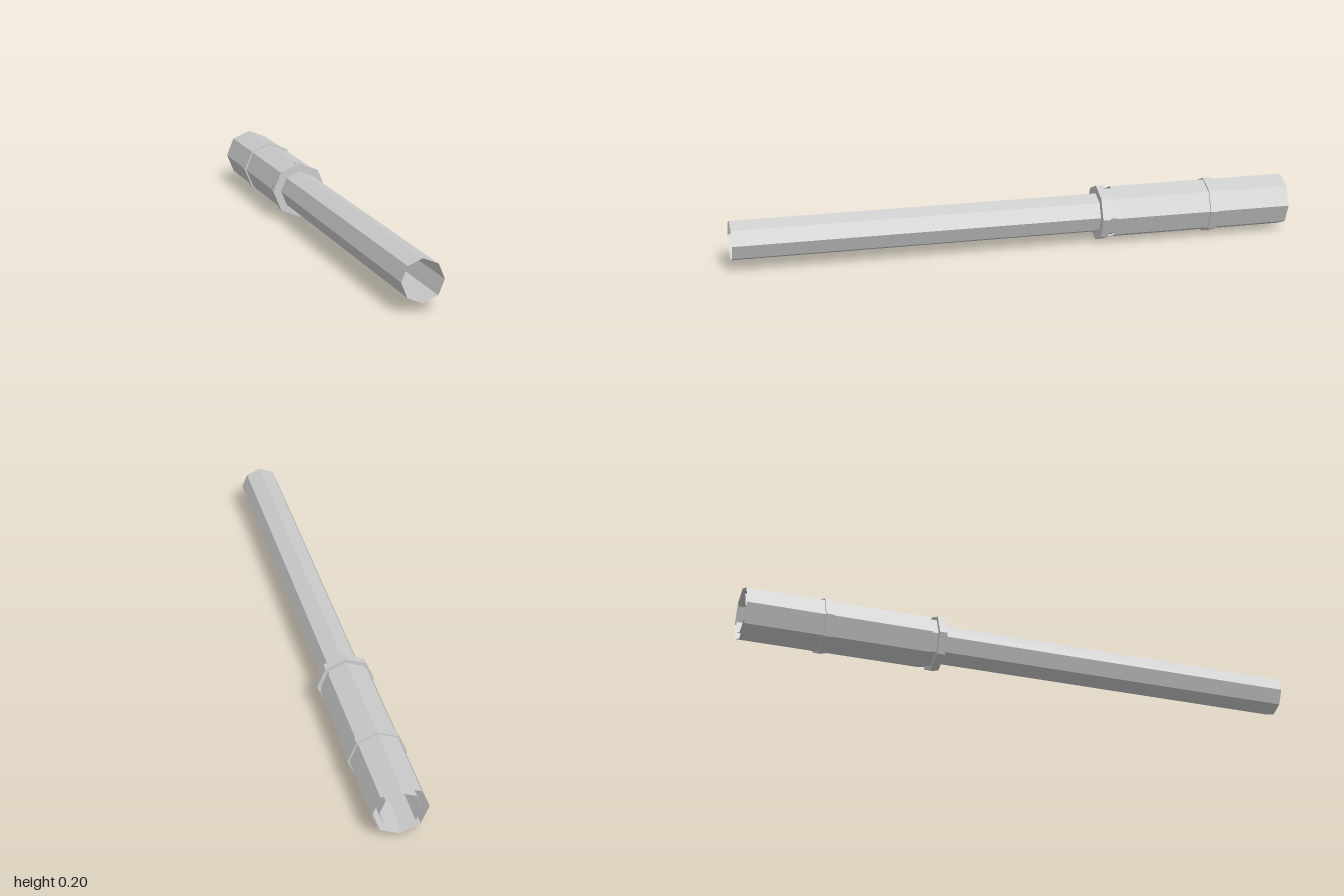
import * as THREE from 'three';

export function createModel() {
  const model = new THREE.Group();
  const solid = new THREE.MeshStandardMaterial({ color: 0xcccccc, flatShading: true });
  const open = solid.clone();
  open.side = THREE.DoubleSide;

  // Octagonal section lying along z, with its corners up, down and to the sides
  function section(name, radius, zBack, zFront, openEnded) {
    const geometry = new THREE.CylinderGeometry(radius, radius, zFront - zBack, 8, 1, openEnded);
    geometry.rotateX(Math.PI / 2);
    const mesh = new THREE.Mesh(geometry, openEnded ? open : solid);
    mesh.name = name;
    mesh.position.set(0, 0.1, (zBack + zFront) / 2);
    model.add(mesh);
  }

  // Thin inner tube, running the whole length
  section('innerTube', 0.071, -1, 1, true);
  // Wider open sleeve around the back end
  section('sleeve', 0.094, -1, -0.352, true);
  // Closed rings
  section('neck', 0.086, -0.36, -0.32, false);
  section('flange', 0.1, -0.328, -0.3, false);
  section('band', 0.1, -0.73, -0.702, false);

  return model;
}
